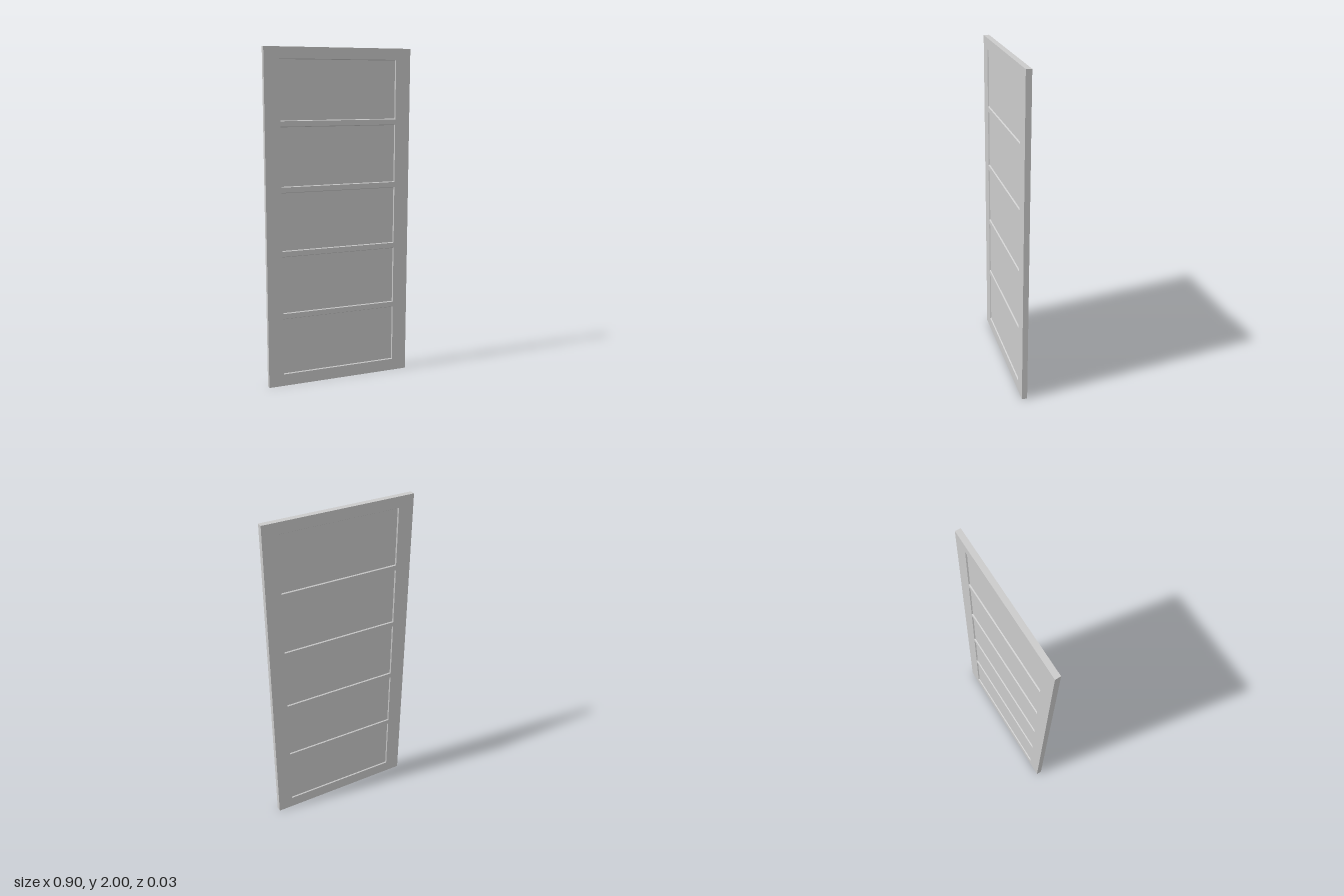
import * as THREE from 'three';

const W = 0.45, H = 2, T = 0.0165;           // half width, height, half thickness
const PANEL_X = 0.358, PANEL_H = 0.348;      // panel half width and height
const FIRST_Y = 0.073, STEP = 0.3785, COUNT = 5;
const BEVEL = 0.004, DEPTH = 0.007;          // moulding slope

const material = new THREE.MeshStandardMaterial({ color: 0xcccccc });

// Anticlockwise corners of an upright rectangle centred on x = 0
const rect = (hw, y0, y1) => [[-hw, y0], [hw, y0], [hw, y1], [-hw, y1]];
const toPoints = (corners) => corners.map(([x, y]) => new THREE.Vector2(x, y));

// Four-sided band joining rectangle a at depth za to rectangle b at depth zb
function band(a, za, b, zb) {
  const pos = [];
  for (let i = 0; i < 4; i++) {
    const j = (i + 1) % 4;
    const p = [...a[i], za], q = [...a[j], za], r = [...b[j], zb], s = [...b[i], zb];
    pos.push(...p, ...q, ...r, ...p, ...r, ...s);
  }
  const geometry = new THREE.BufferGeometry();
  geometry.setAttribute('position', new THREE.Float32BufferAttribute(pos, 3));
  geometry.computeVertexNormals();
  return geometry;
}

function addMesh(parent, geometry, name) {
  const mesh = new THREE.Mesh(geometry, material);
  mesh.name = name;
  parent.add(mesh);
  return mesh;
}

// One face of the door, from the middle of its thickness outward
function doorFace(name) {
  const face = new THREE.Group();
  face.name = name;
  const outline = rect(W, 0, H);
  const frame = new THREE.Shape(toPoints(outline));

  for (let i = 0; i < COUNT; i++) {
    const y0 = FIRST_Y + i * STEP, y1 = y0 + PANEL_H;
    const outer = rect(PANEL_X, y0, y1);
    const inner = rect(PANEL_X - BEVEL, y0 + BEVEL, y1 - BEVEL);
    frame.holes.push(new THREE.Path(toPoints(outer)));

    // Sloped moulding and the sunken panel inside it
    addMesh(face, band(outer, T, inner, T - DEPTH), 'panelMoulding');
    const panel = new THREE.PlaneGeometry(2 * (PANEL_X - BEVEL), PANEL_H - 2 * BEVEL);
    addMesh(face, panel, 'panel').position.set(0, (y0 + y1) / 2, T - DEPTH);
  }

  // Stiles and rails, then the outer edge
  addMesh(face, new THREE.ShapeGeometry(frame), 'stilesAndRails').position.z = T;
  addMesh(face, band(outline, 0, outline, T), 'edge');
  return face;
}

export function createModel() {
  const door = new THREE.Group();
  door.name = 'panelDoor';
  const back = doorFace('backFace');
  back.rotation.y = Math.PI;
  door.add(doorFace('frontFace'), back);
  return door;
}
